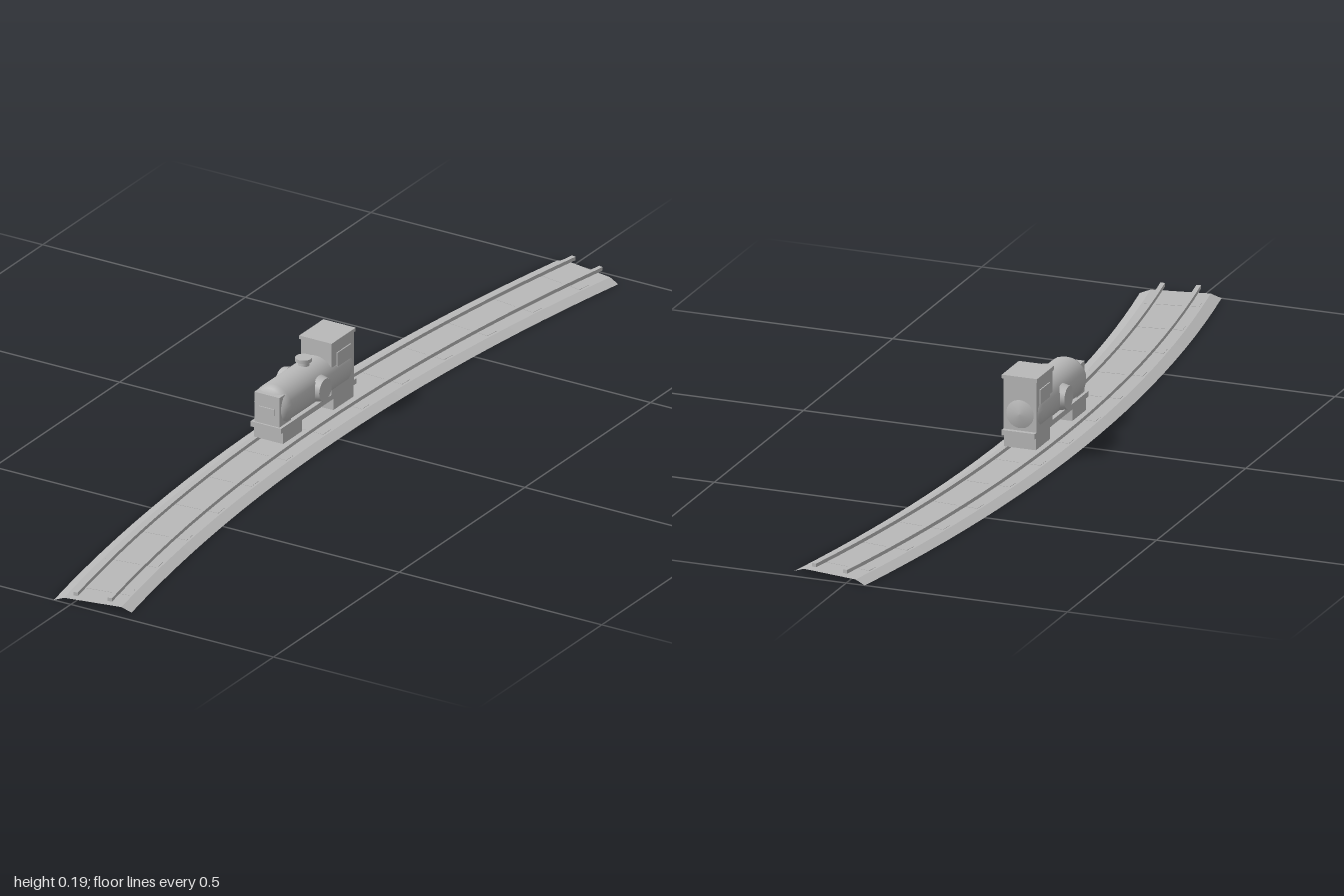
import * as THREE from 'three';

// Track arc: radius, centre x and half angle
const R = 5.37, CX = 5.323, HALF = 0.1843, LOCO_X = -0.046;

const grey = new THREE.MeshStandardMaterial({ color: 0xb8b8b8 });
grey.name = 'plain grey';
const greyOpen = grey.clone();
greyOpen.name = 'plain grey sheet';
greyOpen.side = THREE.DoubleSide;

function add(parent, name, geometry, x = 0, y = 0, z = 0, material = grey) {
  const mesh = new THREE.Mesh(geometry, material);
  mesh.name = name;
  mesh.position.set(x, y, z);
  parent.add(mesh);
  return mesh;
}

// Box given by half width, vertical range and length range
function block(parent, name, hw, y0, y1, z0, z1) {
  return add(parent, name, new THREE.BoxGeometry(hw * 2, y1 - y0, z1 - z0), 0, (y0 + y1) / 2, (z0 + z1) / 2);
}

// Sweep a cross-section of [across, height] points along the track arc
function sweep(profile, closed, steps = 24) {
  const pos = [], index = [], n = profile.length;
  for (let i = 0; i <= steps; i++) {
    const a = -HALF + (2 * HALF * i) / steps;
    for (const [u, y] of profile) pos.push(CX - (R - u) * Math.cos(a), y, (R - u) * Math.sin(a));
  }
  for (let i = 0; i < steps; i++) {
    for (let j = 0; j < (closed ? n : n - 1); j++) {
      const k = (j + 1) % n, p = i * n, q = p + n;
      index.push(p + j, q + j, p + k, p + k, q + j, q + k);
    }
  }
  if (closed) {
    const e = steps * n;
    for (let j = 1; j < n - 1; j++) index.push(0, j, j + 1, e, e + j + 1, e + j);
  }
  const g = new THREE.BufferGeometry();
  g.setAttribute('position', new THREE.Float32BufferAttribute(pos, 3));
  g.setIndex(index);
  const flat = g.toNonIndexed();
  flat.computeVertexNormals();
  return flat;
}

function buildTrack() {
  const track = new THREE.Group();
  track.name = 'track';
  // Open-bottomed gravel bed
  add(track, 'ballast', sweep([[-0.0875, 0], [-0.0645, 0.009], [0.0645, 0.009], [0.0875, 0]], false), 0, 0, 0, greyOpen);
  // Rails
  for (const s of [-1, 1]) {
    const c = s * 0.0385, w = 0.005;
    add(track, s < 0 ? 'outerRail' : 'innerRail',
      sweep([[c - w, 0.026], [c + w, 0.026], [c + w, 0.018], [c - w, 0.018]], true));
  }
  // Sleepers, nearly flush with the bed
  const count = 13;
  for (let i = 0; i < count; i++) {
    const a = HALF * (((i + 0.5) / count) * 2 - 1);
    const sleeper = add(track, 'sleeper', new THREE.BoxGeometry(0.118, 0.003, 0.03),
      CX - R * Math.cos(a), 0.0082, R * Math.sin(a));
    sleeper.rotation.y = a;
  }
  return track;
}

function buildLocomotive() {
  const loco = new THREE.Group();
  loco.name = 'locomotive';
  loco.position.x = LOCO_X;

  // Chassis and wheel blocks
  block(loco, 'footplate', 0.0375, 0.058, 0.07, -0.15, 0.15);
  block(loco, 'frontWheelBlock', 0.036, 0.031, 0.058, 0.064, 0.14);
  block(loco, 'rearWheelBlock', 0.036, 0.031, 0.058, -0.14, -0.06);

  // Boiler with rounded ends, running through the cab
  const half = [[0, 0.144], [0.03, 0.141], [0.0405, 0.131], [0.0455, 0.118]];
  const outline = [...half.map(([r, z]) => [r, -z]), ...half.slice().reverse()]
    .map(([r, z]) => new THREE.Vector2(r, z));
  const boiler = add(loco, 'boiler', new THREE.LatheGeometry(outline, 32), 0, 0.1065, 0);
  boiler.rotation.x = Math.PI / 2;

  // Square front face and its plaque
  block(loco, 'frontFace', 0.031, 0.07, 0.138, 0.1, 0.146);
  block(loco, 'frontPlaque', 0.019, 0.095, 0.109, 0.145, 0.149);

  // Side discs
  for (const s of [-1, 1]) {
    const disc = add(loco, s > 0 ? 'leftDisc' : 'rightDisc',
      new THREE.CylinderGeometry(0.025, 0.029, 0.016, 20), s * 0.046, 0.106, 0);
    disc.rotation.z = -s * Math.PI / 2;
  }

  // Chimney
  add(loco, 'chimneyStem', new THREE.CylinderGeometry(0.011, 0.013, 0.02, 20), 0, 0.153, 0);
  add(loco, 'chimneyCap', new THREE.CylinderGeometry(0.018, 0.018, 0.008, 20), 0, 0.164, 0);

  // Cab, roof and side windows
  block(loco, 'cab', 0.0375, 0.07, 0.182, -0.14, -0.05);
  block(loco, 'roof', 0.04, 0.182, 0.19, -0.143, -0.047);
  for (const s of [-1, 1]) {
    add(loco, s > 0 ? 'leftWindow' : 'rightWindow',
      new THREE.BoxGeometry(0.004, 0.032, 0.055), s * 0.038, 0.144, -0.097);
  }
  return loco;
}

export function createModel() {
  const model = new THREE.Group();
  model.name = 'trainOnTrack';
  model.add(buildTrack(), buildLocomotive());
  return model;
}
